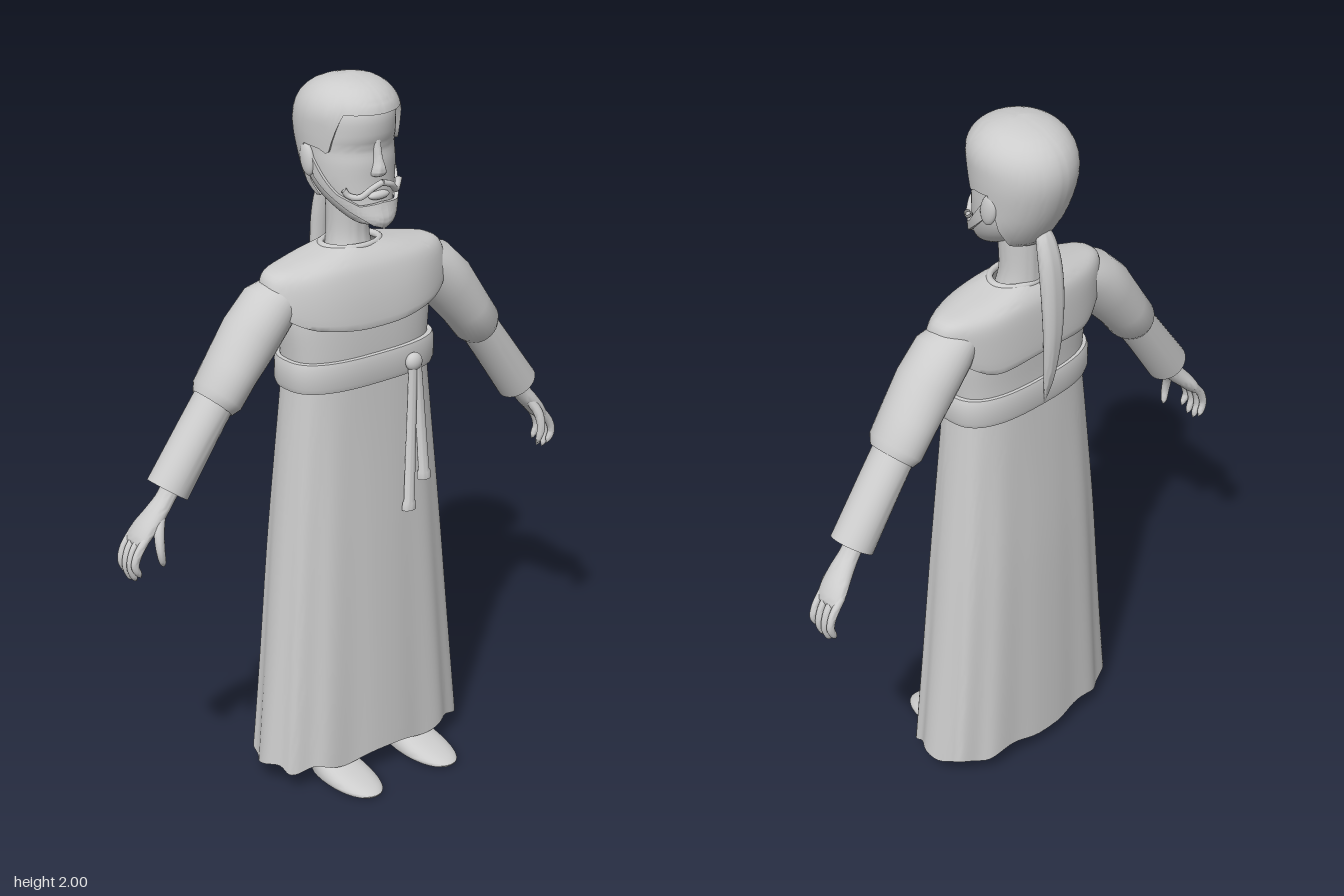
import * as THREE from 'three';
import { toCreasedNormals } from 'three/addons/utils/BufferGeometryUtils.js';

const grey = new THREE.MeshStandardMaterial({ color: 0xcccccc, side: THREE.DoubleSide });
grey.name = 'light grey';

// Interpolates rows whose first column is the parameter.
function track(rows, Type = THREE.CubicInterpolant) {
  const size = rows[0].length - 1;
  const it = new Type(rows.map(r => r[0]), rows.flatMap(r => r.slice(1)), size, new Float32Array(size));
  return t => Array.from(it.evaluate(t));
}

// Surface from a function of u (around) and v (along).
function grid(nu, nv, fn) {
  const pos = [], index = [];
  for (let j = 0; j <= nv; j++) for (let i = 0; i <= nu; i++) pos.push(...fn(i / nu, j / nv));
  for (let j = 0; j < nv; j++) for (let i = 0; i < nu; i++) {
    const a = j * (nu + 1) + i, b = a + nu + 1;
    index.push(a, a + 1, b + 1, a, b + 1, b);
  }
  const g = new THREE.BufferGeometry();
  g.setAttribute('position', new THREE.Float32BufferAttribute(pos, 3));
  g.setIndex(index);
  return toCreasedNormals(g, 1.0);
}

// Point on an oval ring; angle 0 faces front, n squares the oval.
function oval(a, rx, zf, zb, n = 2) {
  const p = v => Math.sign(v) * Math.abs(v) ** (2 / n);
  return [rx * p(Math.sin(a)), (zf + zb) / 2 + (zf - zb) / 2 * p(Math.cos(a))];
}

// Stacked oval rings: rows of [y, halfWidth, zFront, zBack].
function loft(rows, { n = 2, x = 0, seg = 48, steps = 4, warp } = {}) {
  const at = track(rows.map((r, i) => [i, ...r]), steps > 1 ? THREE.CubicInterpolant : THREE.LinearInterpolant);
  return grid(seg, (rows.length - 1) * steps, (u, v) => {
    const a = u * Math.PI * 2, [y, rx, zf, zb] = at(v * (rows.length - 1));
    const [px, pz] = oval(a, rx, zf, zb, n), p = [px + x, y, pz];
    return warp ? warp(p, a, v) : p;
  });
}

// Tube bending in the x-y plane: rows of [x, y, z, radius, depthRadius].
function sweep(rows, side, { seg = 24, steps = 4 } = {}) {
  const last = rows.length - 1;
  const at = track(rows.map((r, i) => [i, ...r]), steps > 1 ? THREE.CubicInterpolant : THREE.LinearInterpolant);
  const dir = new THREE.Vector2(rows[last][0] - rows[0][0], rows[last][1] - rows[0][1]).normalize();
  return grid(seg, last * steps, (u, v) => {
    const t = v * last, [x, y, z, ra, rb] = at(t);
    let T = dir;
    if (steps > 1) {
      const p = at(Math.max(0, t - 0.1)), q = at(Math.min(last, t + 0.1));
      T = new THREE.Vector2(q[0] - p[0], q[1] - p[1]).normalize();
    }
    const a = u * Math.PI * 2 * side, c = Math.cos(a) * ra;
    return [side * (x - T.y * c), y + T.x * c, z + Math.sin(a) * rb];
  });
}

// Hair-like shell on an oval profile between two edge lines given in degrees.
function shell(profile, low, high, a0, a1) {
  const at = track(profile), lo = track(low, THREE.LinearInterpolant), hi = track(high, THREE.LinearInterpolant);
  return grid(96, 18, (u, v) => {
    const deg = a0 + (a1 - a0) * u, d = Math.abs(deg);
    const t = Math.sin(THREE.MathUtils.clamp((v * 18 - 1) / 16, 0, 1) * Math.PI / 2);
    const y = THREE.MathUtils.lerp(lo(d)[0], hi(d)[0], t);
    const [rx, zf, zb] = at(y), k = v === 0 || v === 1 ? 0.9 : 1, m = (zf + zb) / 2;
    const [x, z] = oval(deg * Math.PI / 180, rx * k, m + (zf - m) * k, m + (zb - m) * k);
    return [x, y, z];
  });
}

export function createModel() {
  const model = new THREE.Group();
  const add = (name, geo) => {
    const mesh = new THREE.Mesh(geo, grey);
    mesh.name = name;
    model.add(mesh);
    return mesh;
  };

  // Robe: folded skirt, bodice, belt
  add('skirt', loft([
    [0.06, 0.325, 0.112, -0.188], [0.35, 0.298, 0.103, -0.183], [0.7, 0.268, 0.09, -0.175],
    [1.0, 0.24, 0.076, -0.16], [1.19, 0.222, 0.068, -0.15],
  ], { n: 2.7, seg: 120, steps: 6, warp: ([x, y, z], a, v) => {
    const f = 1 + 0.022 * (1 - v) * Math.cos(12 * a);
    return [x * f, y + 0.009 * (1 - v) ** 6 * Math.cos(9 * a), -0.04 + (z + 0.04) * f];
  } }));
  add('bodice', loft([
    [1.2, 0.218, 0.066, -0.15], [1.28, 0.226, 0.068, -0.15], [1.37, 0.234, 0.064, -0.153],
    [1.45, 0.225, 0.05, -0.15], [1.5, 0.17, 0.03, -0.142], [1.535, 0.08, 0.0, -0.12],
  ], { n: 2.7 }));
  add('belt', loft([
    [1.175, 0.215, 0.06, -0.145], [1.176, 0.236, 0.08, -0.158], [1.19, 0.241, 0.084, -0.162],
    [1.245, 0.241, 0.084, -0.162], [1.259, 0.236, 0.08, -0.158], [1.26, 0.215, 0.06, -0.145],
  ], { n: 2.7, seg: 64, steps: 1 }));

  // Shoulder cape with flared tips and wavy edge
  add('shoulderCape', loft([
    [1.342, 0.225, 0.07, -0.155], [1.343, 0.25, 0.083, -0.167], [1.42, 0.258, 0.074, -0.166],
    [1.485, 0.25, 0.056, -0.16], [1.518, 0.19, 0.036, -0.148], [1.545, 0.085, 0.006, -0.126],
  ], { n: 2.7, seg: 96, warp: ([x, y, z], a, v) => {
    const w = 1 - v, s = Math.abs(Math.sin(a)) ** 6 * w;
    return [x * (1 + 0.24 * s), y + 0.12 * s * w + 0.008 * w * w * (1 - Math.cos(5 * a)), z];
  } }));
  const collar = add('collar', new THREE.TorusGeometry(0.078, 0.01, 10, 40));
  collar.rotation.x = Math.PI / 2;
  collar.scale.set(1.1, 0.82, 1);
  collar.position.set(0, 1.54, -0.06);

  // Hanging belt cords with a knot
  const knot = add('cordKnot', new THREE.SphereGeometry(0.026, 20, 14));
  knot.position.set(0.102, 1.212, 0.09);
  knot.scale.z = 0.7;
  for (const [x0, x1, bottom] of [[0.098, 0.086, 0.775], [0.112, 0.14, 0.855]]) {
    add('cord', loft([
      [bottom, 0.001, 0.093, 0.091], [bottom + 0.004, 0.022, 0.108, 0.078], [bottom + 0.024, 0.021, 0.107, 0.079],
      [bottom + 0.03, 0.017, 0.105, 0.081], [1.215, 0.013, 0.102, 0.08],
    ], { seg: 20, steps: 1, warp: ([x, y, z]) =>
      [x + THREE.MathUtils.mapLinear(y, bottom, 1.21, x1, x0), y, z] }));
  }

  // Neck and head
  add('neck', loft([[1.51, 0.068, 0.0, -0.13], [1.58, 0.058, -0.012, -0.128], [1.7, 0.062, 0.0, -0.13]]));
  add('head', loft([
    [1.615, 0.001, 0.04, 0.03], [1.62, 0.04, 0.072, -0.01], [1.645, 0.07, 0.074, -0.06],
    [1.685, 0.098, 0.066, -0.12], [1.73, 0.115, 0.062, -0.16], [1.78, 0.121, 0.061, -0.18],
    [1.82, 0.122, 0.056, -0.19], [1.86, 0.122, 0.066, -0.2], [1.92, 0.115, 0.062, -0.19], [1.975, 0.07, 0.01, -0.13],
  ]));
  add('nose', loft([
    [1.744, 0.003, 0.06, 0.04], [1.752, 0.022, 0.079, 0.03], [1.768, 0.02, 0.085, 0.03],
    [1.8, 0.012, 0.075, 0.03], [1.845, 0.012, 0.064, 0.03],
  ], { seg: 20 }));
  const lips = add('lips', new THREE.SphereGeometry(1, 20, 12));
  lips.scale.set(0.034, 0.012, 0.014);
  lips.position.set(0, 1.697, 0.064);

  // Hair, beard and ponytail
  add('hair', shell([
    [1.66, 0.096, 0.07, -0.132], [1.72, 0.122, 0.068, -0.172], [1.8, 0.132, 0.069, -0.208], [1.87, 0.137, 0.077, -0.224],
    [1.92, 0.133, 0.079, -0.215], [1.955, 0.115, 0.06, -0.19], [1.98, 0.085, 0.025, -0.15], [1.993, 0.05, -0.015, -0.105], [2, 0, -0.058, -0.058],
  ], [[0, 1.918], [46, 1.92], [53, 1.87], [61, 1.81], [72, 1.825], [94, 1.83], [112, 1.73], [130, 1.67], [180, 1.66]],
  [[0, 2], [180, 2]], -180, 180));
  add('beard', shell([
    [1.608, 0.035, 0.086, 0], [1.63, 0.066, 0.097, -0.06], [1.67, 0.099, 0.088, -0.12],
    [1.72, 0.121, 0.075, -0.16], [1.8, 0.129, 0.068, -0.18],
  ], [[0, 1.61], [35, 1.622], [60, 1.66], [92, 1.745]],
  [[0, 1.682], [38, 1.676], [62, 1.705], [92, 1.8]], -92, 92));
  add('ponytail', loft([
    [1.18, 0.002, -0.158, -0.16], [1.27, 0.018, -0.164, -0.187], [1.4, 0.03, -0.166, -0.206], [1.52, 0.036, -0.16, -0.208],
    [1.62, 0.035, -0.147, -0.197], [1.69, 0.026, -0.135, -0.172], [1.73, 0.002, -0.135, -0.14],
  ], { seg: 24, steps: 5 }));

  for (const side of [1, -1]) {
    const L = side > 0 ? 'left' : 'right';
    const V = (x, y, z) => new THREE.Vector3(side * x, y, z);

    // Face details
    add(L + 'Moustache', new THREE.TubeGeometry(new THREE.CatmullRomCurve3([
      V(0, 1.734, 0.078), V(0.03, 1.724, 0.077), V(0.06, 1.7, 0.06), V(0.083, 1.705, 0.04), V(0.092, 1.72, 0.034),
    ]), 24, 0.0085, 10));
    const ear = add(L + 'Ear', new THREE.SphereGeometry(1, 18, 14));
    ear.scale.set(0.014, 0.045, 0.026);
    ear.position.copy(V(0.126, 1.785, -0.078));
    ear.rotation.x = -0.2;

    // Sleeves: full upper part, narrower open cuff
    add(L + 'UpperSleeve', sweep([
      [0.2, 1.465, -0.058, 0.045, 0.06], [0.27, 1.42, -0.057, 0.075, 0.083], [0.335, 1.35, -0.056, 0.08, 0.085],
      [0.4, 1.268, -0.056, 0.07, 0.084], [0.445, 1.207, -0.056, 0.067, 0.082], [0.46, 1.187, -0.057, 0.058, 0.066],
      [0.455, 1.19, -0.057, 0.04, 0.045],
    ], side, { steps: 1, seg: 32 }));
    add(L + 'LowerSleeve', sweep([
      [0.42, 1.24, -0.058, 0.054, 0.06], [0.51, 1.118, -0.058, 0.056, 0.06], [0.609, 0.98, -0.058, 0.06, 0.06],
      [0.607, 0.983, -0.058, 0.05, 0.05], [0.56, 1.047, -0.058, 0.03, 0.03],
    ], side, { steps: 1, seg: 32 }));

    // Hand with curled fingers and thumb
    add(L + 'Palm', sweep([
      [0.56, 1.045, -0.058, 0.028, 0.034], [0.612, 0.965, -0.058, 0.024, 0.029], [0.648, 0.922, -0.06, 0.025, 0.036],
      [0.682, 0.885, -0.066, 0.022, 0.044], [0.706, 0.853, -0.07, 0.015, 0.043], [0.712, 0.843, -0.07, 0.002, 0.035],
    ], side));
    [0.022, 0.004, 0, 0.014].forEach((short, i) => {
      const z = -0.036 - i * 0.022;
      add(L + 'Finger', sweep([
        [0.69, 0.875, z, 0.011, 0.011], [0.721, 0.834, z, 0.012, 0.011], [0.732, 0.79 + short / 2, z, 0.011, 0.0105],
        [0.722, 0.755 + short, z, 0.009, 0.009], [0.715, 0.742 + short, z, 0.001, 0.001],
      ], side, { seg: 12 }));
    });
    add(L + 'Thumb', sweep([
      [0.645, 0.92, -0.04, 0.014, 0.014], [0.664, 0.878, -0.02, 0.014, 0.014], [0.668, 0.835, -0.01, 0.012, 0.012],
      [0.661, 0.8, -0.012, 0.009, 0.009], [0.657, 0.787, -0.013, 0.001, 0.001],
    ], side, { seg: 12 }));

    // Shoe running up into the leg
    add(L + 'FootAndLeg', loft([
      [0, 0.001, 0.1, 0.098], [0.001, 0.06, 0.216, -0.028], [0.014, 0.068, 0.225, -0.035], [0.034, 0.062, 0.17, -0.04],
      [0.06, 0.048, 0.07, -0.048], [0.1, 0.038, 0.025, -0.055], [0.22, 0.042, 0.015, -0.07], [0.5, 0.055, 0.02, -0.09],
    ], { n: 2.2, x: side * 0.136, seg: 32, steps: 3 }));
  }
  return model;
}
